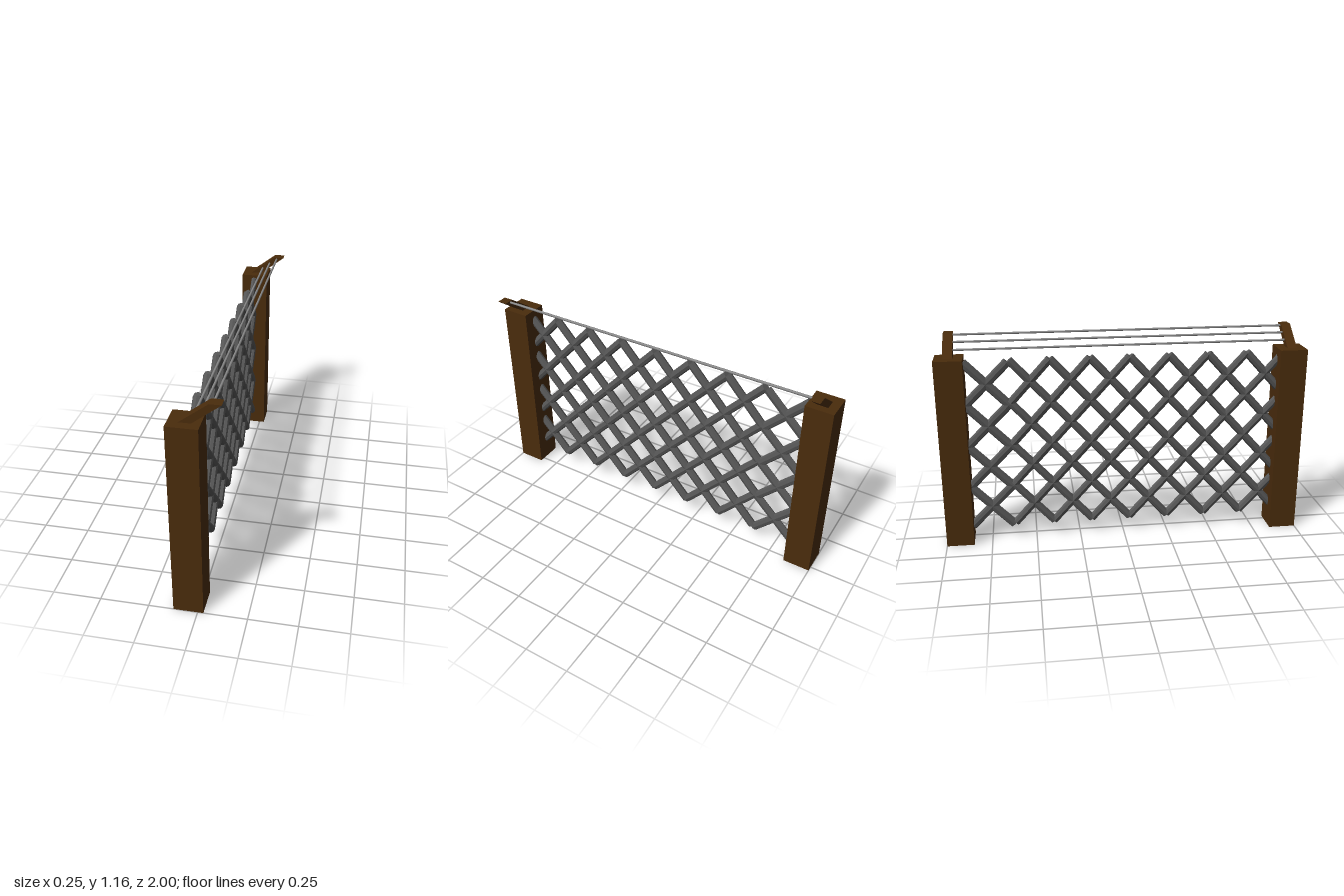
import * as THREE from 'three';

const wood = new THREE.MeshStandardMaterial({ color: 0x4a2c0c, flatShading: true });
const steel = new THREE.MeshStandardMaterial({ color: 0x565656, flatShading: true });
const wireMat = new THREE.MeshStandardMaterial({ color: 0x8a8a8a });

// Straight rod between two points; flat < 1 thins it along x
function rod(name, a, b, radius, sides, material, flat = 1) {
  const dir = b.clone().sub(a);
  const mesh = new THREE.Mesh(new THREE.CylinderGeometry(radius, radius, dir.length(), sides), material);
  mesh.name = name;
  mesh.position.copy(a).add(b).multiplyScalar(0.5);
  mesh.quaternion.setFromUnitVectors(new THREE.Vector3(0, 1, 0), dir.normalize());
  mesh.scale.x = flat;
  return mesh;
}

export function createModel() {
  const model = new THREE.Group();
  const v = (x, y, z) => new THREE.Vector3(x, y, z);

  // Posts with slanted arms on top
  const armShape = new THREE.Shape([[-0.074, 1.057], [-0.015, 1.057], [0.123, 1.163], [0.066, 1.163]]
    .map(([x, y]) => new THREE.Vector2(x, y)));
  for (const s of [1, -1]) {
    const post = new THREE.Mesh(new THREE.BoxGeometry(0.152, 1.058, 0.15), wood);
    post.name = s > 0 ? 'frontPost' : 'backPost';
    post.position.set(-0.047, 0.529, s * 0.925);
    const arm = new THREE.Mesh(new THREE.ExtrudeGeometry(armShape, { depth: 0.052, bevelEnabled: false }), wood);
    arm.name = s > 0 ? 'frontArm' : 'backArm';
    arm.position.z = s * 0.928 - 0.026;
    model.add(post, arm);
  }

  // Three wires strung between the arms
  for (const [x, y] of [[-0.005, 1.09], [0.037, 1.123], [0.081, 1.153]]) {
    model.add(rod('wire', v(x, y, -0.905), v(x, y, 0.905), 0.006, 10, wireMat));
  }

  // Diagonal lattice, each bar trimmed to the span of the panel
  const lattice = new THREE.Group();
  lattice.name = 'lattice';
  const x = -0.05, low = 0.092, high = 1.037, pitch = 0.2155, zMin = -0.613, zMax = 0.87;
  const run = 4 * pitch, slope = (high - low) / run;
  for (let k = -6; k <= 12; k++) {
    const foot = 0.68 - k * pitch;
    for (const s of [1, -1]) {
      const z0 = THREE.MathUtils.clamp(foot, zMin, zMax);
      const z1 = THREE.MathUtils.clamp(foot + s * run, zMin, zMax);
      if (Math.abs(z1 - z0) < 0.03) continue;
      const at = (z) => v(x, low + slope * Math.abs(z - foot), z);
      lattice.add(rod('latticeBar', at(z0), at(z1), 0.0225, 8, steel));
    }
  }

  // Flatter crossed bars closing the gap to the back post
  const rise = (high - low) / 4;
  for (let i = 0; i < 4; i++) {
    const y0 = low + i * rise - 0.006, y1 = y0 + rise;
    lattice.add(
      rod('endBar', v(x, y0 - 0.003, -0.622), v(x, y1, -0.855), 0.025, 8, steel, 0.7),
      rod('endBar', v(x, y1 - 0.003, -0.622), v(x, y0, -0.855), 0.025, 8, steel, 0.7)
    );
  }
  model.add(lattice);
  return model;
}
